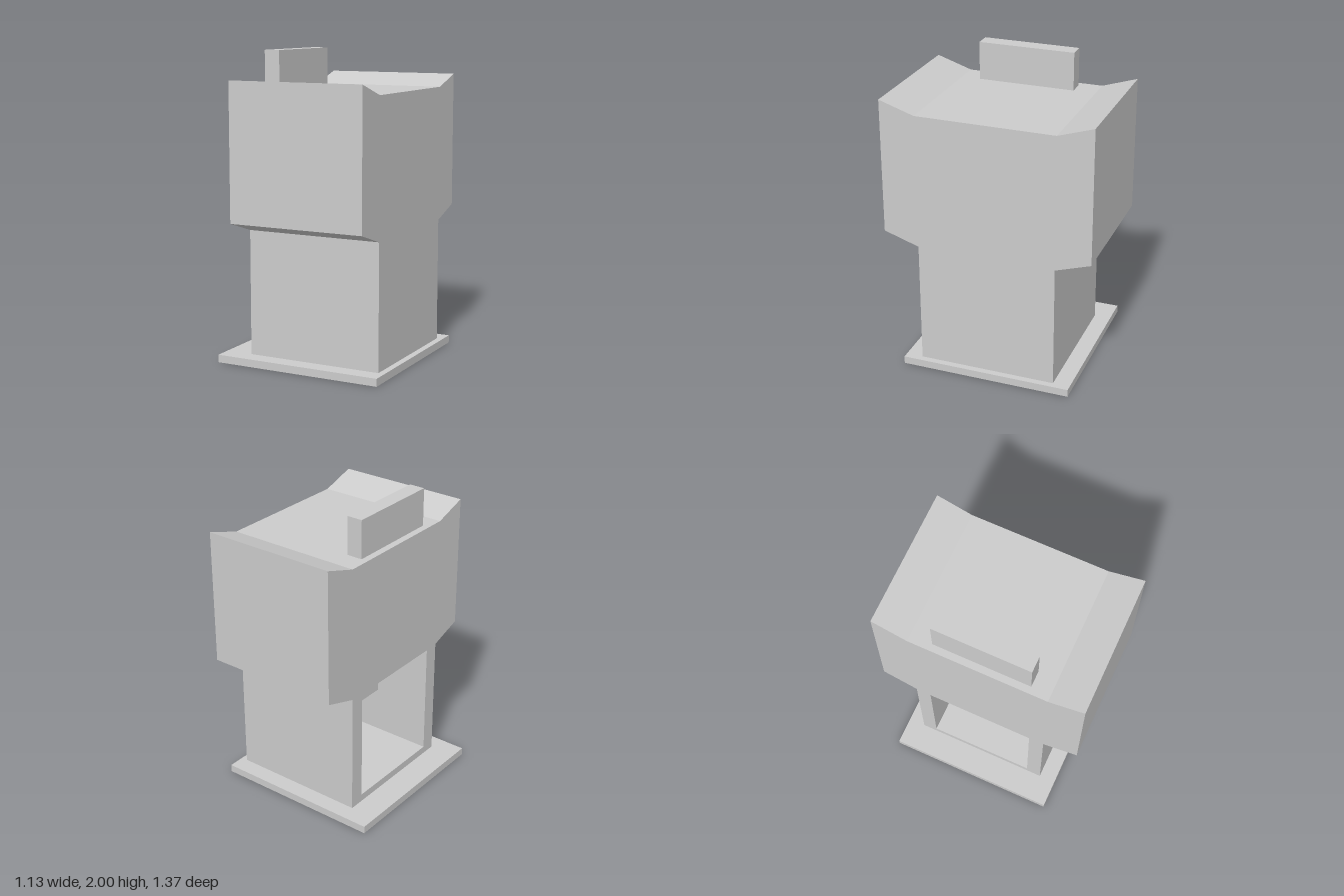
import * as THREE from 'three';

const material = new THREE.MeshStandardMaterial({ color: 0xcccccc, flatShading: true });

// Extrudes a closed polygon of [u, v] points along +z
function prism(points, depth) {
  const shape = new THREE.Shape(points.map(([u, v]) => new THREE.Vector2(u, v)));
  return new THREE.ExtrudeGeometry(shape, { depth, bevelEnabled: false });
}

// Box given by its minimum and maximum corners
function box(min, max) {
  const size = max.map((v, i) => v - min[i]);
  return new THREE.BoxGeometry(...size)
    .translate(...max.map((v, i) => (v + min[i]) / 2));
}

export function createModel() {
  const group = new THREE.Group();
  const add = (name, geometry) => {
    const mesh = new THREE.Mesh(geometry, material);
    mesh.name = name;
    group.add(mesh);
  };

  const left = 0.525, right = -0.385; // body extent in x
  const inner = 0.355;                // half width of the firebox
  const bottom = 0.05, top = 1.75;

  // Base slab
  add('baseSlab', box([-0.567, 0, -0.567], [0.567, bottom, 0.567]));

  // Front and back walls, each with a flared upper shelf
  for (const [name, s] of [['frontWall', 1], ['backWall', -1]]) {
    const profile = [
      [inner, bottom], [0.455, bottom], [0.455, 0.865], [0.687, 0.94],
      [0.687, 1.825], [0.455, top], [inner, top],
    ].map(([z, y]) => [s * z, y]);
    add(name, prism(profile, left - right).rotateY(-Math.PI / 2).translate(left, 0, 0));
  }

  // Core between the walls: floor, closed side, stepped ceiling and mass above
  const core = prism([
    [right, bottom], [left, bottom], [left, top], [right, top],
    [right, 0.86], [0.01, 0.86], [0.01, 0.415], [0.42, 0.415],
    [0.42, 0.1], [right, 0.1],
  ], 2 * inner).translate(0, 0, -inner);
  add('fireboxCore', core);

  // Flat chimney
  add('chimney', box([-0.34, top, -0.31], [-0.235, 2, 0.33]));

  return group;
}
